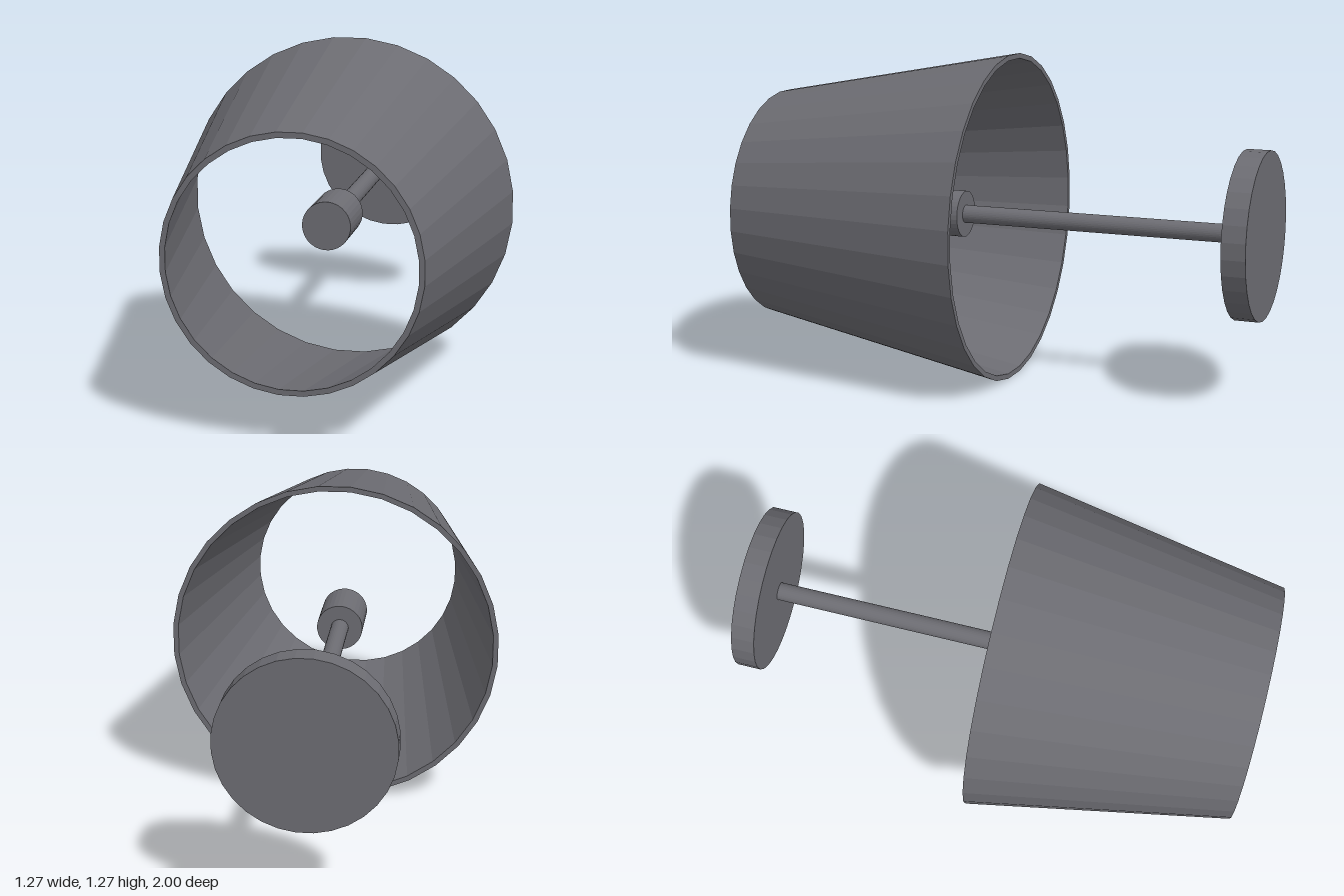
import * as THREE from 'three';

const SIDES = 32;
const AXIS_Y = 0.638;

export function createModel() {
  const lamp = new THREE.Group();
  lamp.name = 'wallLamp';
  const grey = new THREE.MeshStandardMaterial({ color: 0x6c6c72, flatShading: true });
  grey.name = 'darkGreyMetal';

  // Turn a closed profile of [radius, z] points around the horizontal axis
  const turned = (name, profile) => {
    const points = profile.map(([r, z]) => new THREE.Vector2(r, z));
    const geometry = new THREE.LatheGeometry(points, SIDES, Math.PI / SIDES);
    geometry.rotateX(Math.PI / 2);
    const mesh = new THREE.Mesh(geometry, grey);
    mesh.name = name;
    mesh.position.y = AXIS_Y;
    lamp.add(mesh);
  };
  // Solid cylinder from z0 to z1
  const solid = (name, r, z0, z1) =>
    turned(name, [[0, z0], [r, z0], [r, z1], [0, z1]]);

  solid('wallPlate', 0.318, -1, -0.91);
  solid('rod', 0.035, -0.91, 0.21);
  solid('bulbSocket', 0.091, 0.204, 0.432);

  // Tapered shade, open at both ends, with wall thickness
  turned('shade', [[0.618, 0], [0.638, 0], [0.456, 1], [0.436, 1], [0.618, 0]]);

  return lamp;
}
